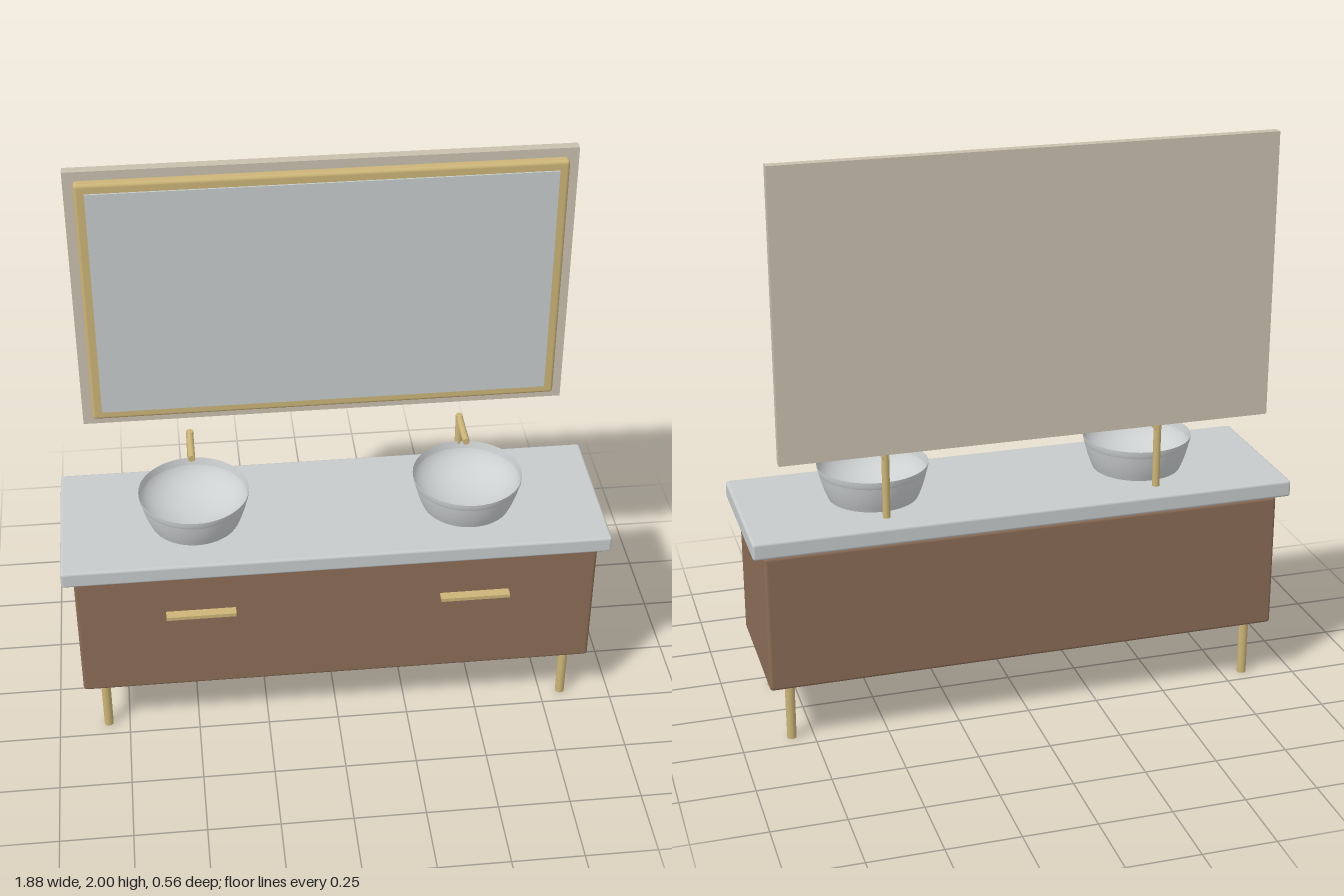
import * as THREE from 'three';
import { RoundedBoxGeometry } from 'three/addons/geometries/RoundedBoxGeometry.js';

const material = (name, color, extra = {}) => {
  const m = new THREE.MeshStandardMaterial({ color, ...extra });
  m.name = name;
  return m;
};

export function createModel() {
  const wood = material('walnut', 0x8b6c56);
  const stone = material('stone', 0xc6cacb);
  const ceramic = material('ceramic', 0xcdd0d1, { side: THREE.DoubleSide });
  const brass = material('brass', 0xcbb478);
  const glass = material('mirrorGlass', 0xc5cacb);
  const backing = material('backing', 0xc9bfae);

  const model = new THREE.Group();
  model.name = 'doubleVanity';

  const add = (name, geometry, mat, x, y, z, parent = model) => {
    const mesh = new THREE.Mesh(geometry, mat);
    mesh.name = name;
    mesh.position.set(x, y, z);
    parent.add(mesh);
    return mesh;
  };

  // Cabinet and countertop
  add('cabinet', new RoundedBoxGeometry(1.8, 0.487, 0.504, 3, 0.012), wood, 0, 0.459, -0.002);
  add('countertop', new RoundedBoxGeometry(1.88, 0.06, 0.56, 3, 0.01), stone, 0, 0.74, -0.001);

  // Legs
  const legGeometry = new THREE.CylinderGeometry(0.017, 0.016, 0.22, 24);
  for (const x of [-0.825, 0.825]) {
    for (const z of [-0.192, 0.192]) add('leg', legGeometry, brass, x, 0.11, z);
  }

  // Basin shell: flared outside and a smooth dished inside
  const outerGeometry = new THREE.LatheGeometry(
    new THREE.SplineCurve([
      new THREE.Vector2(0.154, 0),
      new THREE.Vector2(0.168, 0.035),
      new THREE.Vector2(0.18, 0.075),
      new THREE.Vector2(0.19, 0.12),
    ]).getPoints(10), 48);
  const dish = [];
  for (let i = 0; i <= 12; i++) {
    const a = (i / 12) * Math.PI / 2;
    dish.push(new THREE.Vector2(0.19 * Math.cos(a), 0.12 - 0.112 * Math.sin(a)));
  }
  const innerGeometry = new THREE.LatheGeometry(dish, 48);

  // One washing place on each side
  const handleGeometry = new THREE.BoxGeometry(0.24, 0.013, 0.035);
  const postGeometry = new THREE.CylinderGeometry(0.013, 0.013, 0.226, 24);
  const spoutGeometry = new THREE.CylinderGeometry(0.012, 0.012, 0.16, 24).rotateX(Math.PI / 2);
  for (const x of [-0.475, 0.475]) {
    const basin = new THREE.Group();
    basin.name = 'basin';
    basin.position.set(x, 0.77, 0.014);
    model.add(basin);
    add('basinOuter', outerGeometry, ceramic, 0, 0, 0, basin);
    add('basinInner', innerGeometry, ceramic, 0, 0, 0, basin);

    const faucet = new THREE.Group();
    faucet.name = 'faucet';
    faucet.position.set(x, 0, 0);
    model.add(faucet);
    add('faucetPost', postGeometry, brass, 0, 0.883, -0.186, faucet);
    add('faucetSpout', spoutGeometry, brass, 0, 0.985, -0.117, faucet);

    add('drawerHandle', handleGeometry, brass, x, 0.547, 0.266);
  }

  // Mirror: backing panel, brass frame and glass
  add('mirrorBacking', new THREE.BoxGeometry(1.68, 0.977, 0.034), backing, 0, 1.5115, -0.247);
  add('mirrorFrame', new RoundedBoxGeometry(1.612, 0.91, 0.04, 3, 0.012), brass, 0, 1.514, -0.218);
  add('mirrorGlass', new THREE.BoxGeometry(1.544, 0.844, 0.008), glass, 0, 1.514, -0.196);

  return model;
}
